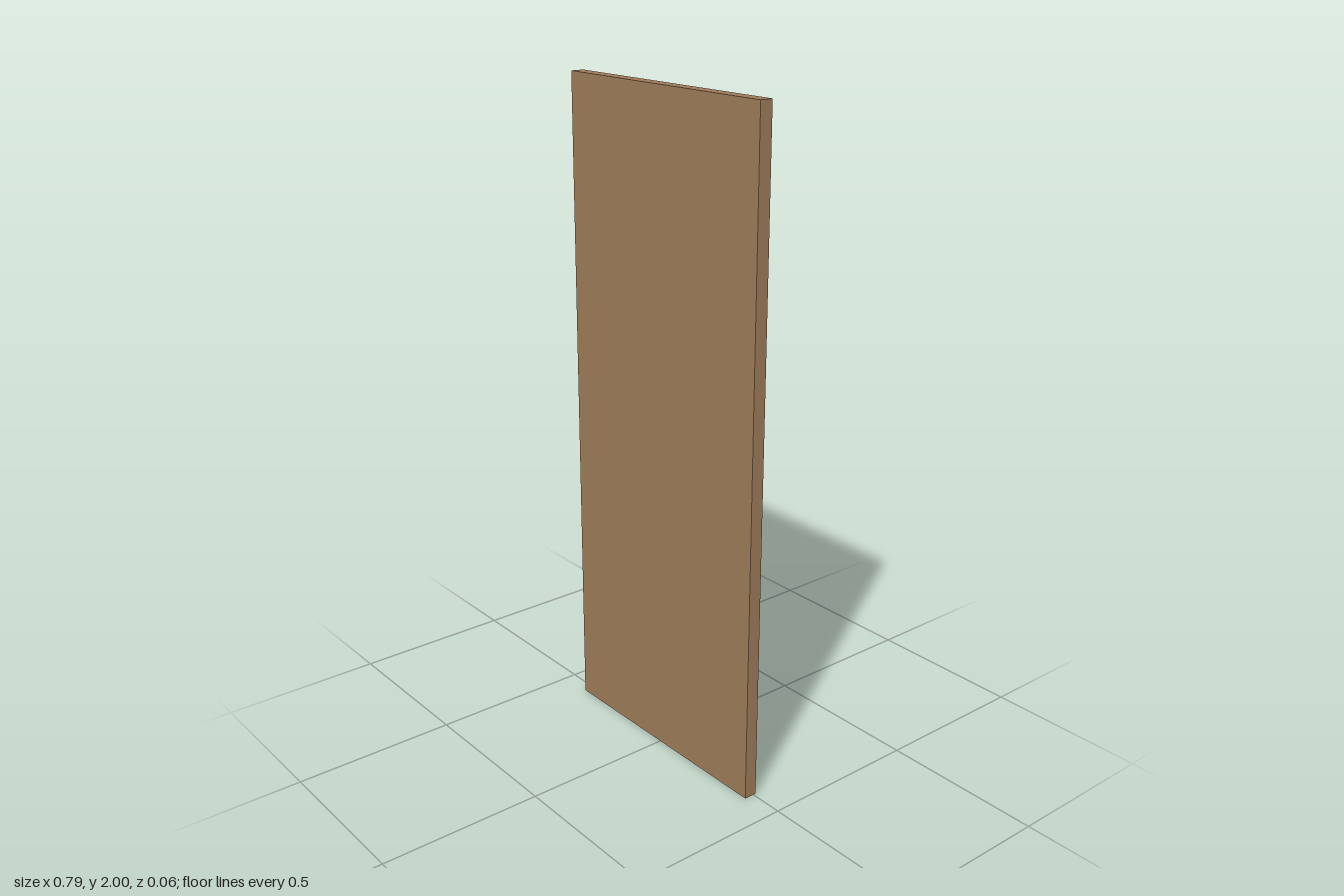
import * as THREE from 'three';

export function createModel() {
  const group = new THREE.Group();
  const wood = new THREE.MeshStandardMaterial({ color: 0x9c7a58 });
  const brass = new THREE.MeshStandardMaterial({ color: 0xa38b55 });

  const add = (name, geometry, material, x, y, z, parent = group) => {
    const mesh = new THREE.Mesh(geometry, material);
    mesh.name = name;
    mesh.position.set(x, y, z);
    parent.add(mesh);
    return mesh;
  };

  // Plain door leaf
  add('doorPanel', new THREE.BoxGeometry(0.79, 2, 0.04), wood, 0, 1, 0.0115);

  // Handle on the back: round rose with a lever reaching toward the door edge
  const handle = new THREE.Group();
  handle.name = 'handle';
  handle.position.set(0.247, 1.013, 0);
  group.add(handle);

  const rose = new THREE.CylinderGeometry(0.034, 0.034, 0.024, 32).rotateX(Math.PI / 2);
  add('handleRose', rose, brass, 0, 0, -0.02, handle);
  add('handleLever', new THREE.BoxGeometry(0.098, 0.023, 0.0205), brass, 0.069, 0, -0.0214, handle);

  return group;
}
